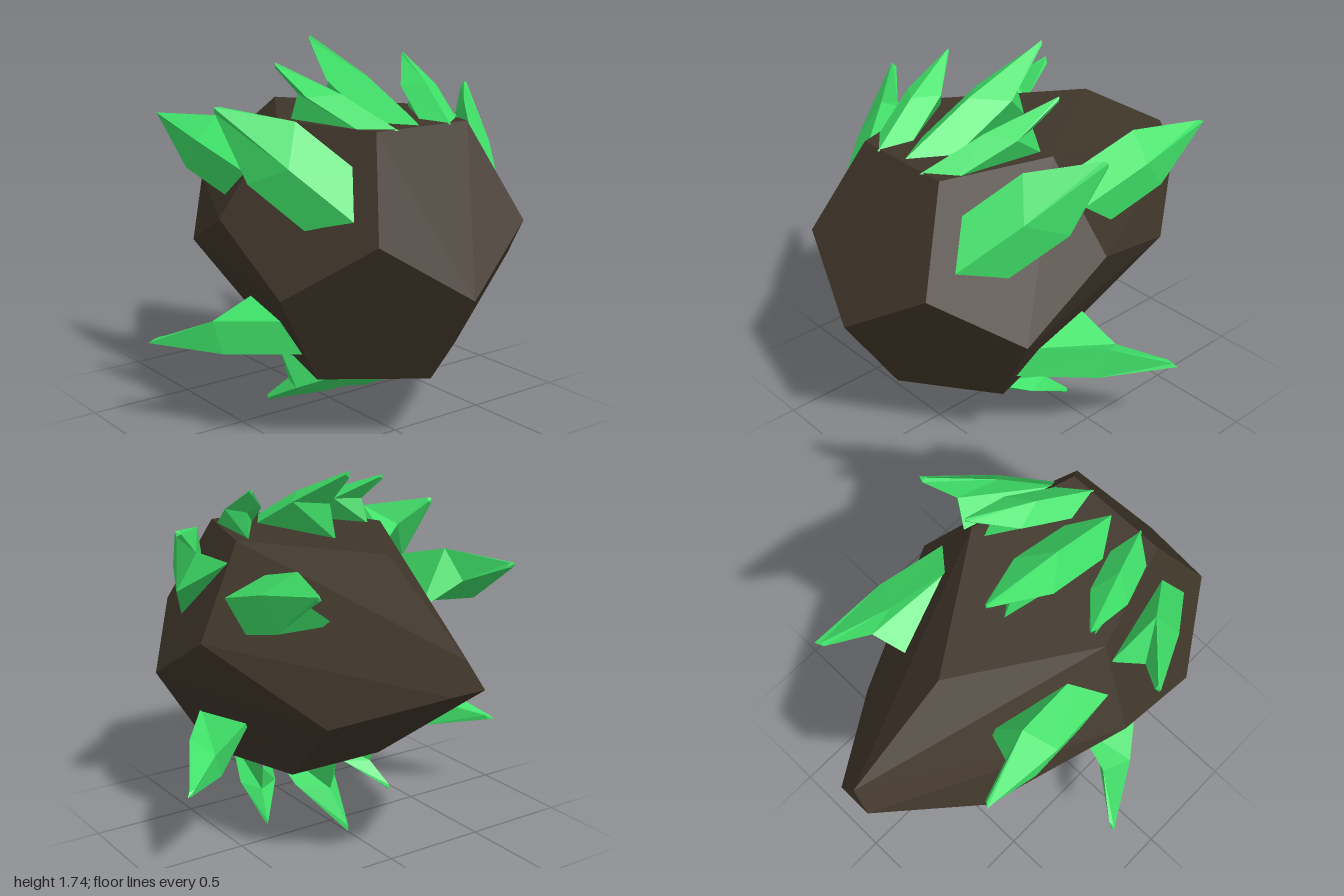
import * as THREE from 'three';
import { ConvexGeometry } from 'three/addons/geometries/ConvexGeometry.js';

const rockMaterial = new THREE.MeshStandardMaterial({ color: 0x40362a, flatShading: true });
const crystalMaterial = new THREE.MeshStandardMaterial({ color: 0x3fe068, flatShading: true });

// Twelve-sided rock, drawn out to a blunt point at -x; z > 0 corners are mirrored
function rockGeometry() {
  const corners = [
    [0.655, 1.42, 0.25], [0.16, 1.42, 0.4], [-0.44, 1.42, 0],
    [0.865, 1.0, 0.4], [0.07, 1.0, 0.645], [-0.985, 1.085, 0], [-1, 0.95, 0.085],
    [1, 0.74, 0], [0.53, 0.74, 0.645], [-0.57, 0.74, 0.4],
    [0.735, 0.325, 0], [0.45, 0.325, 0.4], [-0.055, 0.325, 0.25],
  ];
  const points = [];
  for (const [x, y, z] of corners) {
    points.push(new THREE.Vector3(x, y, z));
    if (z > 0) points.push(new THREE.Vector3(x, y, -z));
  }
  return new ConvexGeometry(points);
}

// Crystal cross-sections from tip to base: [along, height, half width] for ridge, sides, underside
const SECTIONS = [
  { ridge: [1, 1], side: [0.99, 0.95, 0.1], under: [1, 0.9] },
  { ridge: [0.46, 0.53], side: [0.645, 0.47, 1], under: [0.81, 0.47] },
  { ridge: [0, -0.02], side: [0.23, -0.02, 1], under: [0.87, -0.02] },
];

// Four-sided spike leaning from its foot on a rock face (with that face's normal) to its tip
function crystalGeometry(foot, tip, normal, width) {
  const n = normal.clone().normalize();
  const reach = tip.clone().sub(foot);
  const height = reach.dot(n);
  const along = reach.addScaledVector(n, -height);
  const across = n.clone().cross(along).normalize();
  const positions = [];
  const add = (u, h, v) => {
    const p = foot.clone().addScaledVector(along, u)
      .addScaledVector(n, h * height).addScaledVector(across, v * width);
    positions.push(p.x, p.y, p.z);
  };
  for (const { ridge, side, under } of SECTIONS) {
    add(ridge[0], ridge[1], 0);
    add(side[0], side[1], side[2]);
    add(under[0], under[1], 0);
    add(side[0], side[1], -side[2]);
  }
  const index = [0, 2, 1, 0, 3, 2];
  for (let row = 0; row < SECTIONS.length - 1; row++) {
    for (let i = 0; i < 4; i++) {
      const a = row * 4 + i, b = row * 4 + (i + 1) % 4;
      index.push(a, b, a + 4, b, b + 4, a + 4);
    }
  }
  const indexed = new THREE.BufferGeometry();
  indexed.setAttribute('position', new THREE.Float32BufferAttribute(positions, 3));
  indexed.setIndex(index);
  const geometry = indexed.toNonIndexed();
  geometry.computeVertexNormals();
  return geometry;
}

const CRYSTALS = [
  { name: 'topCentreCrystal', foot: [0.645, 1.42, 0], tip: [-0.15, 1.74, 0], normal: [0, 1, 0], width: 0.115 },
  { name: 'topSideCrystal', foot: [0.67, 1.42, 0.14], tip: [0.09, 1.66, 0.36], normal: [0, 1, 0], width: 0.085 },
  { name: 'bottomCentreCrystal', foot: [0.635, 0.325, 0], tip: [-0.15, 0.005, 0], normal: [0, -1, 0], width: 0.115 },
  { name: 'bottomSideCrystal', foot: [0.58, 0.325, 0.14], tip: [0, 0.08, 0.36], normal: [0, -1, 0], width: 0.085 },
  { name: 'shoulderCrystal', foot: [0.74, 1.06, 0.4], tip: [0.15, 1.5, 0.71], normal: [0.276, 0.447, 0.85], width: 0.165 },
  { name: 'flankCrystal', foot: [0.09, 1.19, 0.52], tip: [-0.68, 1.36, 0.52], normal: [-0.48, 0.51, 0.71], width: 0.14 },
  { name: 'lowerSideCrystal', foot: [0.43, 0.44, 0.46], tip: [-0.19, 0.41, 0.87], normal: [-0.276, -0.447, 0.85], width: 0.115 },
];

export function createModel() {
  const model = new THREE.Group();
  model.name = 'crystalRock';

  const rock = new THREE.Mesh(rockGeometry(), rockMaterial);
  rock.name = 'rock';
  model.add(rock);

  // Crystals off the centre line come in front and back pairs
  for (const { name, foot, tip, normal, width } of CRYSTALS) {
    for (const side of foot[2] === 0 ? [1] : [1, -1]) {
      const place = ([x, y, z]) => new THREE.Vector3(x, y, z * side);
      const crystal = new THREE.Mesh(
        crystalGeometry(place(foot), place(tip), place(normal), width), crystalMaterial);
      crystal.name = foot[2] === 0 ? name : name + (side > 0 ? 'Front' : 'Back');
      model.add(crystal);
    }
  }
  return model;
}
